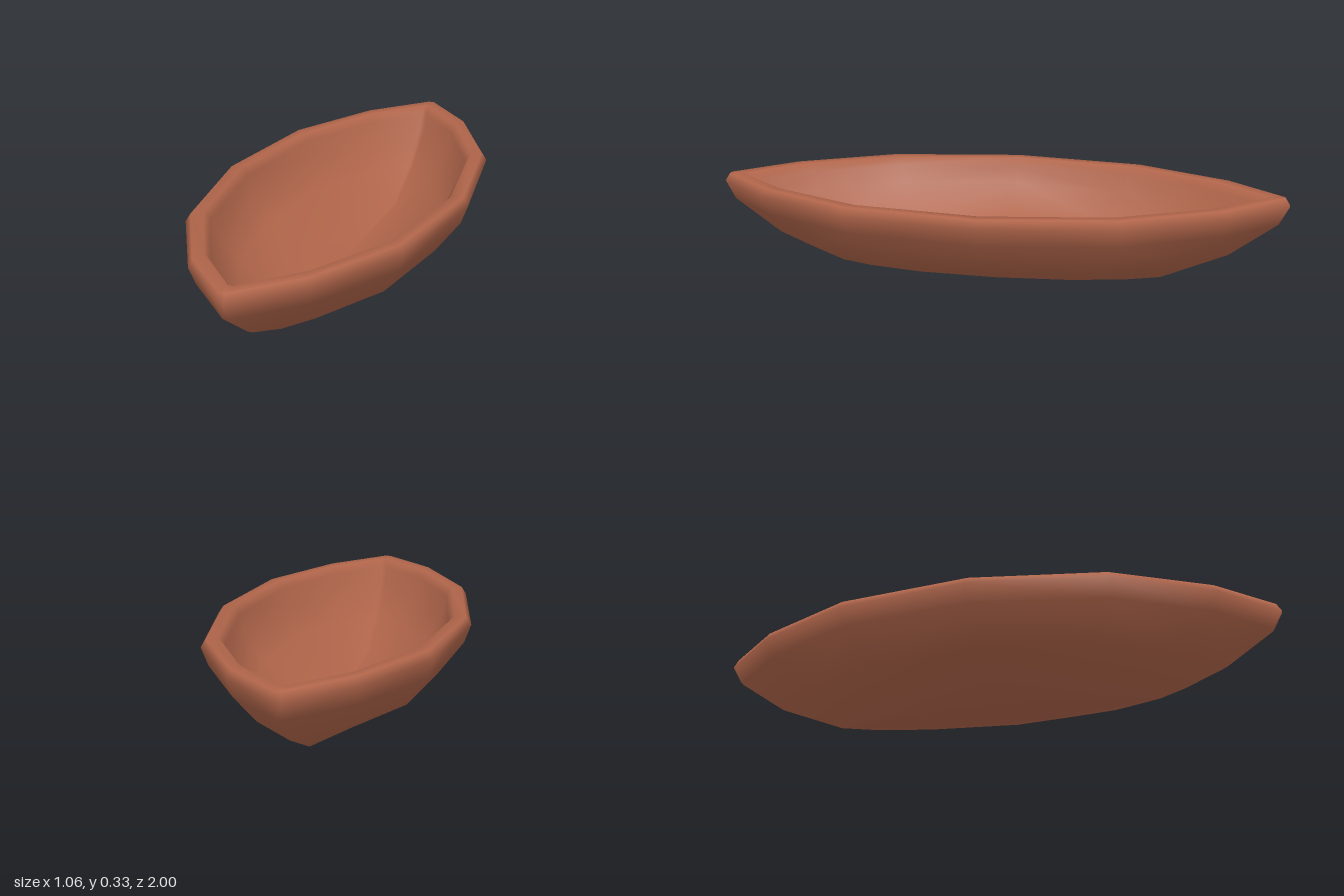
import * as THREE from 'three';

// Plan outline of one side, bow to stern: [half width, distance along the keel]
const SIDE = [
  [0.012, 1.045], [0.212, 0.838], [0.398, 0.488], [0.471, 0],
  [0.398, -0.488], [0.212, -0.838], [0.012, -1.045],
];
const OUTLINE = [...SIDE, ...SIDE.map(([v, u]) => [-v, -u])];

// Wall section from under the keel, over the rim, to the inner floor:
// [width scale, length scale, height]
const SECTION = [
  [0, 0, 0], [0.16, 0.47, 0.002], [0.23, 0.57, 0.008], [0.745, 0.8, 0.108], [0.947, 0.965, 0.232],
  [1, 1, 0.3], [0.96, 0.983, 0.328],
  [0.87, 0.925, 0.328], [0.825, 0.895, 0.3], [0.79, 0.865, 0.235],
  [0.645, 0.74, 0.125], [0.21, 0.55, 0.028], [0, 0, 0.02],
];
const RIM = 6; // section step where the outer wall turns inwards

// Skins the outline, scaled by each section step, into one closed smooth shell
function shellGeometry(outline, section) {
  const n = outline.length;
  const positions = [];
  const index = [];
  section.forEach(([sw, sl, y], r) => {
    outline.forEach(([v, u], i) => {
      positions.push(v * sw, y, -u * sl);
      if (r === section.length - 1) return;
      const a = r * n + i;
      const b = r * n + (i + 1) % n;
      const c = a + n;
      const d = b + n;
      // Diagonals run from the low ends up towards the middle, mirrored fore and aft
      const towardsEnd = i % SIDE.length >= SIDE.length / 2 - 0.5;
      if (r === 0) index.push(a, c, d);
      else if (r === section.length - 2) index.push(a, c, b);
      else if (towardsEnd !== (r >= RIM)) index.push(a, c, b, b, c, d);
      else index.push(a, c, d, a, d, b);
    });
  });
  const geometry = new THREE.BufferGeometry();
  geometry.setAttribute('position', new THREE.Float32BufferAttribute(positions, 3));
  geometry.setIndex(index);
  geometry.computeVertexNormals();
  return geometry;
}

export function createModel() {
  const clay = new THREE.MeshStandardMaterial({ color: 0xb0654a });
  clay.name = 'terracotta';

  const hull = new THREE.Mesh(shellGeometry(OUTLINE, SECTION), clay);
  hull.name = 'hull';
  hull.rotation.y = -0.31; // lies at a slant

  const model = new THREE.Group();
  model.name = 'boatShapedBowl';
  model.add(hull);
  return model;
}
